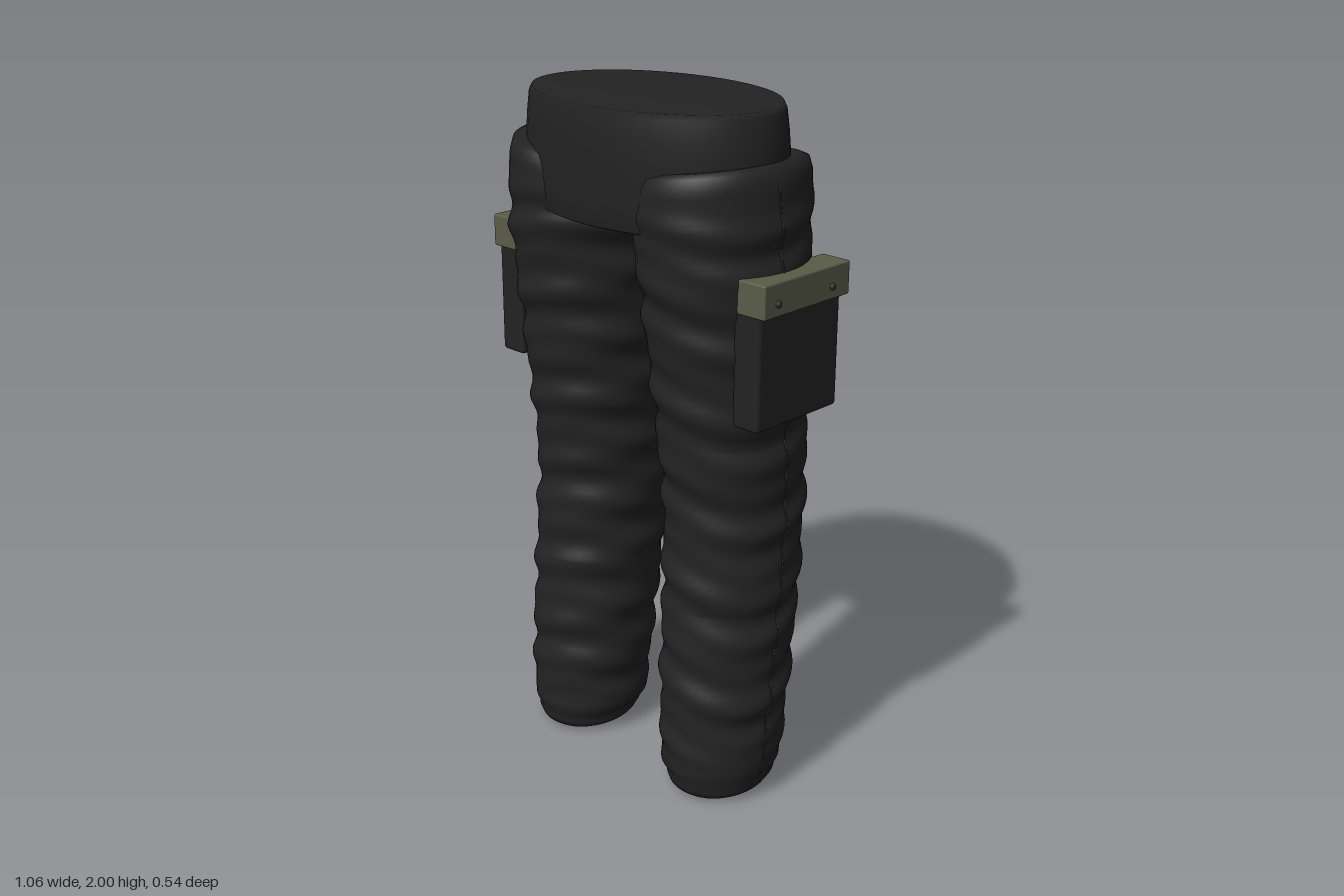
import * as THREE from 'three';
import { RoundedBoxGeometry } from 'three/addons/geometries/RoundedBoxGeometry.js';

const SIDES = 48;

// Closed smooth skin from a stack of rings; ringPoint(ring, angle) gives a point, rings run upward
function loft(rings, ringPoint) {
  const pos = [], index = [];
  rings.forEach((ring) => {
    for (let j = 0; j < SIDES; j++) pos.push(...ringPoint(ring, (j / SIDES) * Math.PI * 2));
  });
  for (let i = 0; i < rings.length - 1; i++) {
    for (let j = 0; j < SIDES; j++) {
      const k = (j + 1) % SIDES;
      const a = i * SIDES + j, b = i * SIDES + k, c = a + SIDES, d = b + SIDES;
      index.push(a, c, b, b, c, d);
    }
  }
  // End caps
  const top = (rings.length - 1) * SIDES;
  for (const [start, up] of [[0, false], [top, true]]) {
    const centre = [0, 0, 0];
    for (let j = 0; j < SIDES; j++) {
      for (let n = 0; n < 3; n++) centre[n] += pos[(start + j) * 3 + n] / SIDES;
    }
    const m = pos.length / 3;
    pos.push(...centre);
    for (let j = 0; j < SIDES; j++) {
      const a = start + j, b = start + ((j + 1) % SIDES);
      if (up) index.push(m, b, a); else index.push(m, a, b);
    }
  }
  const geo = new THREE.BufferGeometry();
  geo.setAttribute('position', new THREE.Float32BufferAttribute(pos, 3));
  geo.setIndex(index);
  geo.computeVertexNormals();
  return geo;
}

// Leg outline by height: y, inner x, outer x, back z, front z
const LEG = [
  [0.0, 0.155, 0.405, -0.12, 0.14],
  [0.015, 0.135, 0.425, -0.142, 0.168],
  [0.035, 0.125, 0.437, -0.155, 0.175],
  [0.05, 0.128, 0.435, -0.155, 0.172],
  [0.075, 0.105, 0.448, -0.172, 0.187],
  [0.15, 0.102, 0.454, -0.178, 0.186],
  [0.3, 0.095, 0.456, -0.198, 0.186],
  [0.6, 0.082, 0.456, -0.235, 0.17],
  [0.88, 0.072, 0.45, -0.262, 0.158],
  [1.1, 0.06, 0.457, -0.258, 0.18],
  [1.3, 0.05, 0.462, -0.252, 0.205],
  [1.6, 0.03, 0.47, -0.254, 0.244],
  [1.72, 0.015, 0.465, -0.264, 0.254],
  [1.83, 0.02, 0.455, -0.268, 0.252],
  [1.862, 0.028, 0.446, -0.258, 0.243],
  [1.872, 0.05, 0.425, -0.235, 0.22],
];

function legSection(y) {
  let i = 0;
  while (i < LEG.length - 2 && y > LEG[i + 1][0]) i++;
  const a = LEG[i], b = LEG[i + 1];
  const t = (y - a[0]) / (b[0] - a[0]);
  return a.map((v, n) => v + (b[n] - v) * t);
}

// Soft cloth folds that fade out at both ends
function fold(y, angle, phase) {
  const fade = THREE.MathUtils.smoothstep(y, 0.05, 0.2) * (1 - THREE.MathUtils.smoothstep(y, 1.65, 1.85));
  return fade * (0.005 * Math.sin(y * 36 + 1.6 * Math.sin(angle + phase) + phase)
    + 0.004 * Math.sin(y * 59 + 2 * Math.cos(angle * 2 - phase)));
}

function legPoint(side, y, angle, lift = 0) {
  const [, inner, outer, back, front] = legSection(y);
  const w = fold(y, angle, side * 0.9) + lift;
  const out = Math.cos(angle) * side;
  const x = side * (inner + outer) / 2 + ((outer - inner) / 2 + w) * Math.cos(angle);
  const z = (back + front) / 2 + ((front - back) / 2 + w) * Math.sin(angle);
  // Hem rises to the back, upper edge drops toward the crotch
  const hem = (1 - THREE.MathUtils.smoothstep(y, 0, 0.25)) * (0.15 - z) * 0.09;
  const drop = THREE.MathUtils.smoothstep(y, 1.6, 1.87) * (1 - out) * 0.024;
  return [x, y + Math.max(hem, 0) - drop, z];
}

export function createModel() {
  const cloth = new THREE.MeshStandardMaterial({ color: 0x232323 });
  cloth.name = 'black cloth';
  const olive = new THREE.MeshStandardMaterial({ color: 0x5a5c49 });
  olive.name = 'olive flap';
  const snapMetal = new THREE.MeshStandardMaterial({ color: 0x30312b });
  snapMetal.name = 'dark snap';

  const model = new THREE.Group();
  const add = (parent, name, geo, mat, x = 0, y = 0, z = 0) => {
    const mesh = new THREE.Mesh(geo, mat);
    mesh.name = name;
    mesh.position.set(x, y, z);
    parent.add(mesh);
    return mesh;
  };

  // Hips: y, half width, half depth
  const hipRings = [
    [1.68, 0.395, 0.25], [1.686, 0.405, 0.262], [1.75, 0.415, 0.268], [1.87, 0.42, 0.272],
    [1.93, 0.412, 0.272], [1.985, 0.402, 0.27], [2.0, 0.392, 0.265],
  ];
  add(model, 'hips', loft(hipRings, ([y, rx, rz], a) => [rx * Math.cos(a), y, rz * Math.sin(a) + 0.003]), cloth);

  // Rings are dense along the leg so the folds stay smooth
  const heights = LEG.map((s) => s[0]);
  for (let y = 0.1; y < 1.82; y += 0.015) heights.push(y);
  heights.sort((a, b) => a - b);
  const levels = heights.filter((y, i) => i === 0 || y - heights[i - 1] > 0.002);

  for (const side of [1, -1]) {
    const half = new THREE.Group();
    half.name = side > 0 ? 'leftSide' : 'rightSide';
    model.add(half);
    add(half, 'leg', loft(levels, (y, a) => legPoint(side, y, a)), cloth);

    // Outer seam with short stitches
    const seamPoint = (y, lift) => {
      const a = 0.1 - 0.1 * Math.sin((y / 1.85) * Math.PI);
      return new THREE.Vector3(...legPoint(side, y, side > 0 ? a : Math.PI - a, lift));
    };
    const seamPath = [];
    for (let y = 0.06; y <= 1.84; y += 0.02) seamPath.push(seamPoint(y, 0));
    add(half, 'seam', new THREE.TubeGeometry(new THREE.CatmullRomCurve3(seamPath), 180, 0.003, 5), cloth);
    for (let y = 0.1; y < 1.83; y += 0.09) {
      const stitch = new THREE.LineCurve3(seamPoint(y, 0.002), seamPoint(y + 0.025, 0.002));
      add(half, 'stitch', new THREE.TubeGeometry(stitch, 1, 0.0018, 5), olive);
    }

    // Cargo pocket, flap and snaps
    add(half, 'pocket', new RoundedBoxGeometry(0.09, 0.35, 0.326, 3, 0.012), cloth, side * 0.457, 1.365, -0.027);
    add(half, 'pocketFlap', new RoundedBoxGeometry(0.095, 0.093, 0.342, 3, 0.006), olive, side * 0.473, 1.551, -0.031);
    for (const z of [0.087, -0.13]) {
      const snap = add(half, 'snap', new THREE.SphereGeometry(0.01, 14, 10), snapMetal, side * 0.522, 1.54, z);
      snap.scale.x = 0.7;
    }
  }
  return model;
}
